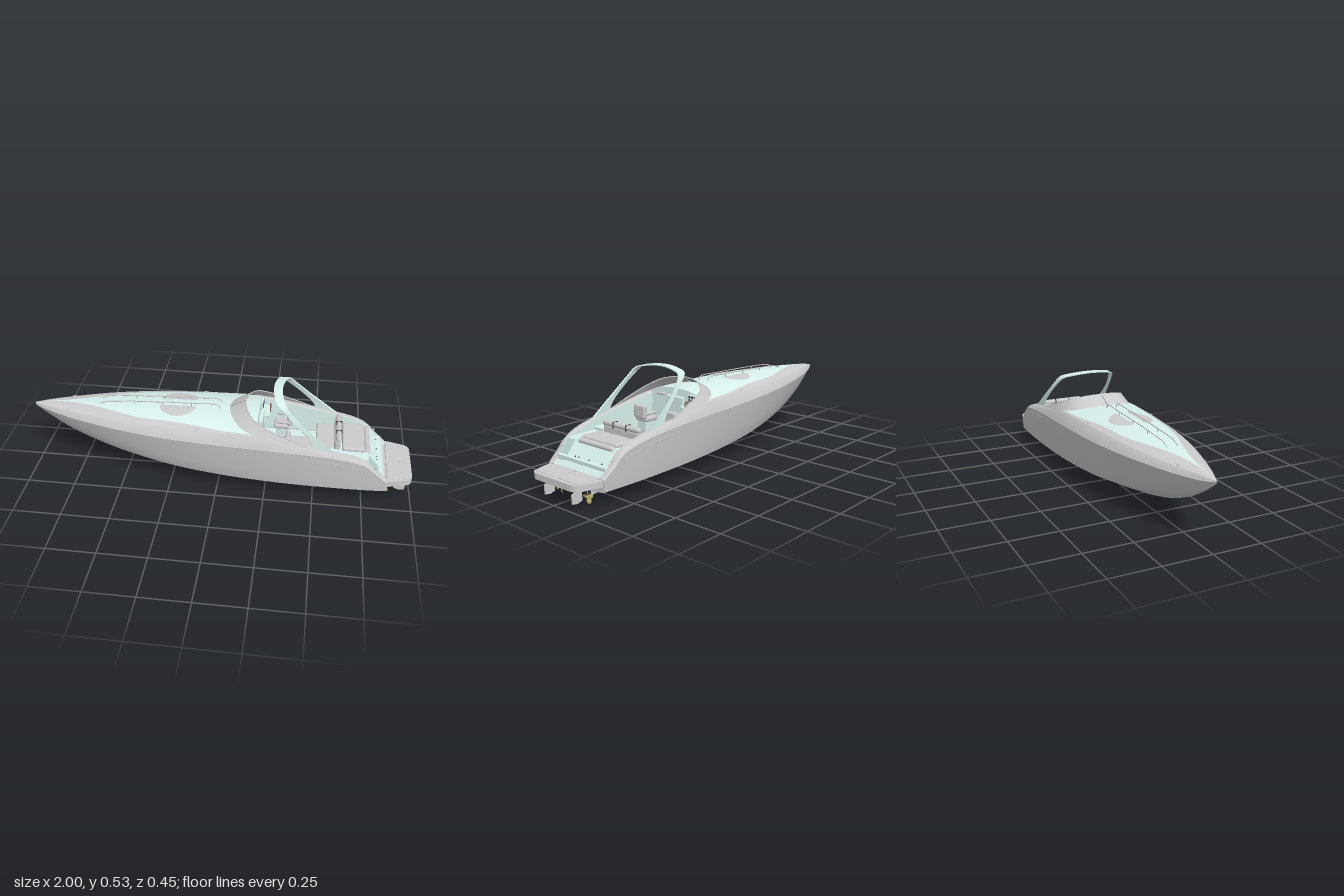
import * as THREE from 'three';
import { toCreasedNormals } from 'three/addons/utils/BufferGeometryUtils.js';
import { RoundedBoxGeometry } from 'three/addons/geometries/RoundedBoxGeometry.js';

const mat = (color) => new THREE.MeshStandardMaterial({ color, side: THREE.DoubleSide });
const GREY = mat(0xcccccc), PALE = mat(0xd8f0ec), TEAL = mat(0xb4d0cc);
const DARK = mat(0x444444), BRASS = mat(0xb8b066), WOOD = mat(0x8a5a34);
const V = (x, y, z) => new THREE.Vector3(x, y, z);

// Hull stations: x, keelY, chineY, chineZ, widestY, widestZ, sheerY, sheerZ, deckCentreY
const ST = [
  [-1, .322, .324, .001, .33, .004, .335, .003, .338],
  [-.93, .27, .282, .014, .322, .038, .342, .03, .35],
  [-.8, .193, .218, .042, .317, .088, .346, .073, .362],
  [-.6, .113, .165, .092, .315, .148, .352, .126, .378],
  [-.4, .07, .13, .132, .31, .187, .356, .16, .39],
  [-.2, .052, .105, .162, .305, .211, .358, .18, .398],
  [0, .045, .09, .181, .3, .222, .358, .192, .398],
  [.2, .045, .08, .192, .293, .225, .352, .2, .393],
  [.4, .045, .074, .197, .283, .222, .318, .205, .38],
  [.6, .045, .071, .197, .262, .213, .284, .198, .37],
  [.75, .047, .07, .194, .225, .204, .24, .19, .36],
  [.84, .05, .07, .19, .145, .196, .152, .185, .35],
  [.87, .05, .07, .188, .125, .192, .128, .183, .35],
];

// Smooth interpolation of one station column
function at(x, c) {
  let i = 0;
  while (i < ST.length - 2 && x > ST[i + 1][0]) i++;
  const slope = (k) => {
    const a = ST[Math.max(k - 1, 0)], b = ST[Math.min(k + 1, ST.length - 1)];
    return (b[c] - a[c]) / (b[0] - a[0]);
  };
  const h = ST[i + 1][0] - ST[i][0], t = (x - ST[i][0]) / h, t2 = t * t, t3 = t2 * t;
  return (2 * t3 - 3 * t2 + 1) * ST[i][c] + (t3 - 2 * t2 + t) * h * slope(i)
    + (3 * t2 - 2 * t3) * ST[i + 1][c] + (t3 - t2) * h * slope(i + 1);
}

// Surface through rows of points
function loft(rows, crease = .5) {
  const n = rows[0].length, idx = [];
  for (let i = 0; i < rows.length - 1; i++) for (let j = 0; j < n - 1; j++) {
    const a = i * n + j, b = a + n;
    idx.push(a, b, a + 1, b, b + 1, a + 1);
  }
  const g = new THREE.BufferGeometry();
  g.setAttribute('position', new THREE.Float32BufferAttribute(rows.flat().flatMap((p) => [p.x, p.y, p.z]), 3));
  g.setIndex(idx);
  return toCreasedNormals(g, crease);
}
const span = (a, b, n, f) => Array.from({ length: n + 1 }, (_, i) => f(a + (b - a) * i / n));

// Half section from keel to sheer, s = side
function section(x, s) {
  const [k, cy, cz, wy, wz, sy, sz] = [1, 2, 3, 4, 5, 6, 7].map((c) => at(x, c));
  const p = [V(x, k, 0)];
  for (const t of [.33, .66]) { // bottom planing strakes
    const y = k + (cy - k) * t, z = cz * t;
    p.push(V(x, y, z * .96 * s), V(x, y - .12 * (cy - k), z * s));
  }
  p.push(V(x, cy - .003, cz * .96 * s), V(x, cy, cz * s), V(x, cy + (wy - cy) * .12, (cz + (wz - cz) * .2) * s));
  for (const t of [.35, .6, .82]) p.push(V(x, cy + (wy - cy) * t, (cz + (wz - cz) * Math.pow(t, .75)) * s));
  p.push(V(x, wy, wz * s), V(x, wy + (sy - wy) * .6, (wz + (sz - wz) * .42) * s), V(x, sy, sz * s));
  return p;
}
// Point on the crowned foredeck, t = -1..1 across
const deck = (x, t, lift = 0) => {
  const sy = at(x, 6);
  return V(x, sy + (at(x, 8) - sy) * (1 - Math.pow(Math.abs(t), 2.2)) + lift, at(x, 7) * t);
};

export function createModel() {
  const root = new THREE.Group();
  const add = (name, geo, m, x = 0, y = 0, z = 0, parent = root) => {
    const o = new THREE.Mesh(geo, m);
    o.name = name; o.position.set(x, y, z); parent.add(o);
    return o;
  };
  const box = (name, m, x0, x1, y0, y1, z0, z1, r = .004) => add(name,
    new RoundedBoxGeometry(x1 - x0, y1 - y0, z1 - z0, 3, r), m, (x0 + x1) / 2, (y0 + y1) / 2, (z0 + z1) / 2);
  const tube = (name, pts, r, m, seg = 40) =>
    add(name, new THREE.TubeGeometry(new THREE.CatmullRomCurve3(pts), seg, r, 6), m);
  const roll = (name, x, y, z0, z1, r) => {
    const o = add(name, new THREE.CapsuleGeometry(r, z1 - z0 - 2 * r, 6, 14), GREY, x, y, (z0 + z1) / 2);
    o.rotation.x = Math.PI / 2;
  };

  // Hull sides, coamings and inner lining
  for (const s of [1, -1]) {
    add('hullSide', loft(span(-1, .87, 80, (x) => section(x, s)), .35), GREY);
    const inner = (x) => at(x, 7) - .028;
    add('coaming', loft(span(.17, .87, 40, (x) =>
      [V(x, at(x, 6), at(x, 7) * s), V(x, at(x, 6) + .002, (inner(x) + .008) * s), V(x, at(x, 6) - .004, inner(x) * s)])), GREY);
    add('cockpitLining', loft(span(.17, .87, 40, (x) =>
      [V(x, at(x, 6) - .004, inner(x) * s), V(x, Math.min(.17, at(x, 6) - .01), (inner(x) - .004) * s)])), PALE);
    tube('rubRail', span(-.99, .86, 40, (x) => V(x, at(x, 4), at(x, 5) * s)), .0025, GREY, 80);
    // Grooves along the quarter
    for (let i = 0; i < 3; i++) tube('quarterGroove', span(.45 + i * .05, .78, 8, (x) =>
      V(x, at(x, 4) - .03 - i * .018, (at(x, 5) - .0025 - i * .0025) * s)), .002, GREY, 16);
    for (const x of [-.8, -.1, .8])
      add('cleat', new THREE.CapsuleGeometry(.004, .02, 3, 8), GREY, x, at(x, 6) + .004, (at(x, 7) - .008) * s).rotation.z = Math.PI / 2;
  }
  add('transom', loft([section(.87, 1), section(.87, -1)]), GREY);

  // Foredeck: pale centre with grey margins
  const pale = (x) => .8 * THREE.MathUtils.smoothstep(x, -1, -.35) + .15 * THREE.MathUtils.smoothstep(x, -.3, .1);
  const strip = (a, b) => loft(span(-1, .2, 60, (x) => span(0, 1, 8, (u) => deck(x, a(x) + (b(x) - a(x)) * u))));
  add('foredeck', strip((x) => -pale(x), pale), PALE);
  for (const s of [1, -1]) {
    add('deckMargin', strip((x) => s * pale(x), () => s), GREY);
    // Half-round hatch windows
    add('deckHatch', loft(span(0, Math.PI, 24, (a) => span(0, 1, 4, (u) => {
      const x = -.22 + .095 * Math.cos(a), z = (.03 + .08 * Math.sin(a) * u) * s;
      return deck(x, z / at(x, 7), .002);
    }))), GREY);
    // Low handrails
    const rail = (x, h) => deck(x, .028 * s / at(x, 7), h);
    tube('deckRail', [rail(-.64, 0), rail(-.6, .014), rail(-.45, .017), rail(-.3, .017), rail(-.15, .018), rail(-.01, .018), rail(0, 0)], .0025, GREY);
    for (const x of [-.45, -.3, -.15]) tube('railPost', [rail(x, 0), rail(x, .017)], .002, GREY, 2);
  }

  // Wraparound windshield
  const half = (p) => [...p.slice(1).reverse().map(([x, y, z]) => V(x, y, -z)), ...p.map((q) => V(...q))];
  const curve = (p) => new THREE.CatmullRomCurve3(half(p)).getPoints(60);
  const top = curve([[.13, .44, 0], [.145, .434, .08], [.18, .418, .14], [.24, .392, .173], [.33, .36, .188], [.46, .31, .2]]);
  const base = curve([[.04, .393, 0], [.06, .388, .08], [.11, .374, .15], [.19, .355, .193], [.32, .33, .204], [.46, .303, .204]]);
  add('windshield', loft([base, top]), GREY);
  tube('windshieldFrame', half([[.13, .438, 0], [.145, .432, .08], [.18, .416, .14], [.24, .39, .173], [.33, .358, .188], [.46, .308, .2]]), .003, GREY, 80);
  tube('windshieldPost', [V(.042, .393, 0), V(.13, .438, 0)], .002, DARK, 2);

  // Swept radar arch: front edge, back edge, thin section
  const arch = [[.528, 0, .27, .315], [.521, .09, .28, .325], [.507, .146, .3, .345], [.46, .168, .355, .39],
    [.4, .182, .42, .455], [.34, .189, .475, .53], [.27, .192, .5, .62]];
  const edge = (k, d) => curve(arch.map(([y, z, f, b]) => [k ? b : f, y - d, Math.max(z - d, 0)]));
  add('radarArch', loft([edge(0, 0), edge(1, 0), edge(1, .005), edge(0, .005), edge(0, 0)]), PALE);

  // Cockpit floor and dash
  box('cockpitFloor', PALE, .18, .84, .15, .17, -.165, .165);
  box('floorCarpet', GREY, .36, .5, .168, .174, -.1, .08, .002);
  add('dashBulkhead', loft([span(-1, 1, 20, (t) => deck(.2, t * .93)), span(-1, 1, 20, (t) => V(.22, .16, .17 * t))]), PALE);
  box('companionDoor', PALE, .2, .222, .19, .355, -.055, .055);
  box('dashShelf', PALE, .19, .25, .3, .318, -.17, -.06);
  box('gloveBox', GREY, .2, .216, .345, .358, .075, .13);
  box('instrumentPanel', PALE, .2, .212, .335, .375, -.15, -.085);
  for (let i = 0; i < 6; i++)
    add('gauge', new THREE.CylinderGeometry(.006, .006, .004, 16), DARK, .213, .348 + .016 * Math.floor(i / 3), -.097 - .018 * (i % 3)).rotation.z = Math.PI / 2;

  // Steering wheel
  const wheel = new THREE.Group();
  wheel.name = 'steeringWheel';
  wheel.position.set(.25, .33, -.12);
  wheel.rotation.set(0, Math.PI / 2, 0);
  add('wheelRim', new THREE.TorusGeometry(.021, .0028, 8, 28), WOOD, 0, 0, 0, wheel);
  for (let i = 0; i < 3; i++)
    add('wheelSpoke', new THREE.BoxGeometry(.042, .003, .002), DARK, 0, 0, 0, wheel).rotation.z = i * Math.PI / 3;
  root.add(wheel);

  // Front seats
  for (const s of [1, -1]) {
    box('seatBase', PALE, .29, .35, .17, .235, s * .105 - .03, s * .105 + .03);
    box('seatCushion', GREY, .275, .355, .232, .258, s * .105 - .04, s * .105 + .04, .01);
    box('seatBack', GREY, .345, .37, .25, .322, s * .105 - .04, s * .105 + .04, .011);
    for (const e of [1, -1]) box('armrest', GREY, .29, .36, .27, .284, s * .105 + e * .043 - .006, s * .105 + e * .043 + .006, .005);
  }

  // Aft bench, cabinet and sunpad
  box('benchBase', PALE, .51, .61, .165, .215, -.16, .09);
  box('benchCushion', GREY, .5, .6, .212, .235, -.155, .085, .01);
  box('benchBack', GREY, .595, .625, .22, .28, -.155, .085, .01);
  roll('benchBolster', .615, .288, -.16, .09, .014);
  for (const z of [-.075, .01]) box('bolsterStrap', DARK, .599, .631, .273, .303, z - .002, z + .002, .001);
  box('sideCabinet', PALE, .5, .61, .165, .25, .1, .168);
  const hatch = new THREE.Shape([[.6, .165], [.6, .235], [.765, .235], [.862, .12], [.862, .1], [.6, .1]].map((p) => new THREE.Vector2(...p)));
  add('engineHatch', new THREE.ExtrudeGeometry(hatch, { depth: .324, bevelEnabled: false }), PALE, 0, 0, -.162);
  box('sunpad', GREY, .635, .75, .228, .252, -.145, .095, .01);
  roll('sunpadBolster', .762, .231, -.145, .095, .015);
  add('walkwayDoor', new THREE.BoxGeometry(.11, .003, .045), TEAL, .807, .188, .138).rotation.z = -.87;
  for (const z of [-.12, .035, .06, -.035])
    add('hatchFitting', new THREE.SphereGeometry(.004, 10, 8), DARK, .818, .172, z);
  for (const s of [1, -1])
    add('sternLight', new THREE.SphereGeometry(.008, 12, 8), GREY, .838, .15, s * .172);

  // Swim platform with two pads
  const ps = new THREE.Shape();
  ps.moveTo(.84, -.188); ps.lineTo(.9, -.178); ps.lineTo(.97, -.158); ps.quadraticCurveTo(1, -.148, 1, -.11);
  ps.lineTo(1, .11); ps.quadraticCurveTo(1, .148, .97, .158); ps.lineTo(.9, .178); ps.lineTo(.84, .188);
  add('swimPlatform', new THREE.ExtrudeGeometry(ps, { depth: .03, bevelEnabled: false, curveSegments: 10 }), GREY, 0, .125, 0).rotation.x = Math.PI / 2;
  for (const s of [1, -1]) box('platformPad', GREY, .87, .98, .121, .13, s * .08 - .068, s * .08 + .068, .0044);

  // Shafts, propellers and rudders
  for (const s of [1, -1]) {
    const z = s * .095;
    tube('driveShaft', [V(.66, .058, z), V(.78, .047, z), V(.895, .034, z)], .004, GREY, 6);
    box('shaftStrut', GREY, .845, .865, .036, .075, z - .003, z + .003, .002);
    const hub = add('propellerHub', new THREE.CapsuleGeometry(.006, .014, 4, 12), BRASS, .882, .034, z);
    hub.rotation.z = Math.PI / 2;
    for (let i = 0; i < 4; i++) {
      const blade = new THREE.SphereGeometry(1, 14, 10);
      blade.scale(.0025, .014, .0115);
      blade.rotateY(.6 * s);
      blade.translate(0, .02, 0);
      add('propellerBlade', blade, BRASS, .882, .034, z).rotation.x = i * Math.PI / 2 + .25;
    }
    const r = new THREE.Shape([[.94, .09], [.955, .09], [.957, .068], [.975, .062], [.973, .018], [.945, .014], [.918, .022], [.92, .062], [.938, .07]].map((p) => new THREE.Vector2(...p)));
    add('rudder', new THREE.ExtrudeGeometry(r, { depth: .007, bevelEnabled: false }), GREY, 0, .004, z - .0035);
  }
  return root;
}
